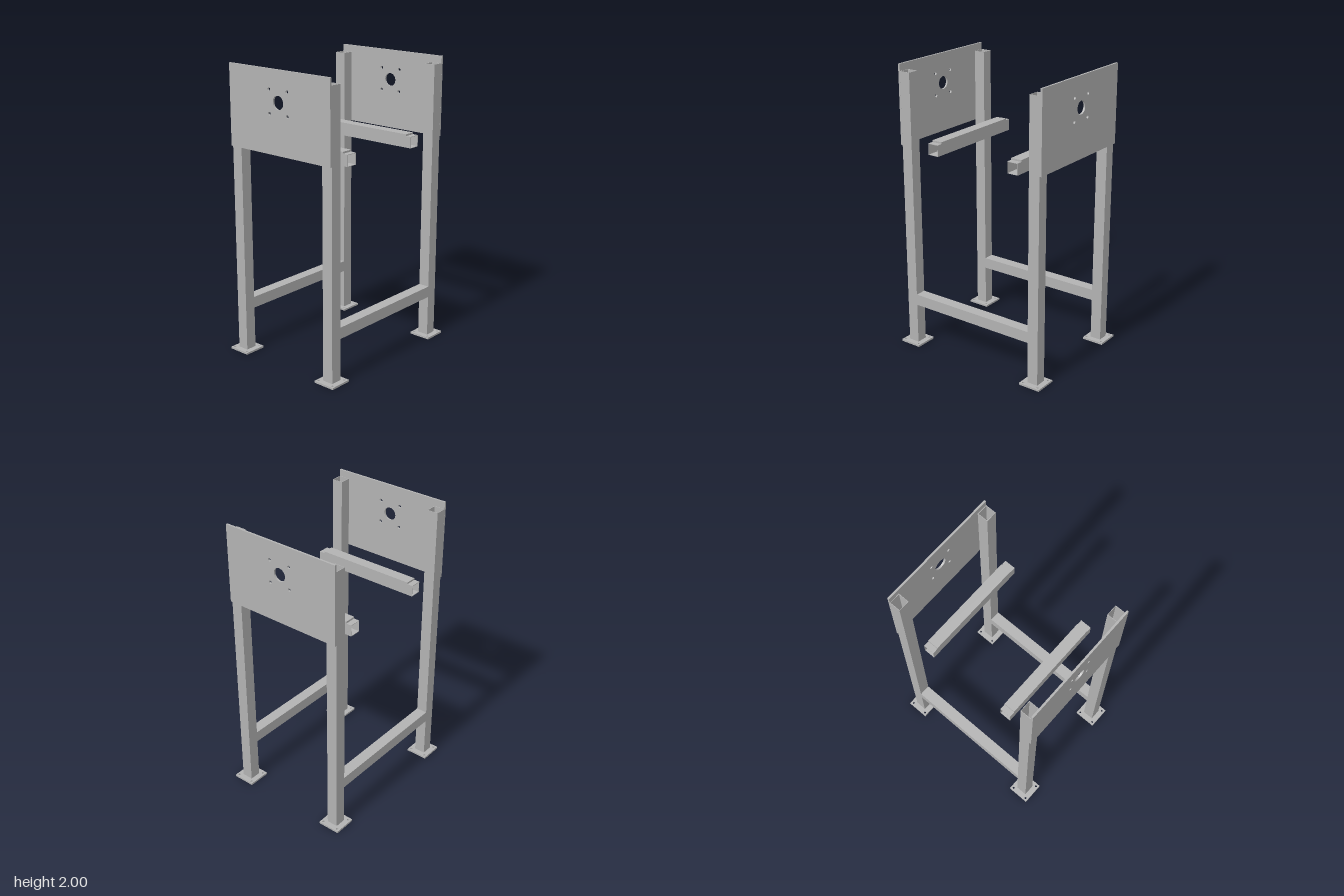
import * as THREE from 'three';

const TUBE = 0.0787;   // outer width of the square tubing
const WALL = 0.003;
const LEG_X = 0.511, LEG_Z = 0.393, RAIL_X = 0.32;
const SHEET = 0.0135;  // thickness of the flat plates

const steel = new THREE.MeshStandardMaterial({ color: 0xb2b2b2 });
steel.name = 'grey steel';

function rectangle(target, w, h) {
  target.moveTo(-w / 2, -h / 2);
  target.lineTo(w / 2, -h / 2);
  target.lineTo(w / 2, h / 2);
  target.lineTo(-w / 2, h / 2);
  target.closePath();
  return target;
}

// Rectangle extruded along z, centred on the origin, with the given holes
function extrudeRect(w, h, depth, holes) {
  const shape = rectangle(new THREE.Shape(), w, h);
  shape.holes.push(...holes);
  return new THREE.ExtrudeGeometry(shape, { depth, bevelEnabled: false, curveSegments: 16 })
    .translate(0, 0, -depth / 2);
}

const squareTube = (length) =>
  extrudeRect(TUBE, TUBE, length, [rectangle(new THREE.Path(), TUBE - 2 * WALL, TUBE - 2 * WALL)]);

const roundHole = (x, y, r) => new THREE.Path().absarc(x, y, r, 0, Math.PI * 2, true);

// Four holes on the corners of a square
const boltHoles = (offset, r, cy = 0) =>
  [-1, 1].flatMap((i) => [-1, 1].map((j) => roundHole(i * offset, cy + j * offset, r)));

export function createModel() {
  const model = new THREE.Group();
  model.name = 'standFrame';
  const add = (name, geometry, x, y, z) => {
    const mesh = new THREE.Mesh(geometry, steel);
    mesh.name = name;
    mesh.position.set(x, y, z);
    model.add(mesh);
  };

  // Open-topped legs on drilled feet
  const legHeight = 1.952 - SHEET;
  const leg = squareTube(legHeight).rotateX(Math.PI / 2);
  const foot = extrudeRect(0.158, 0.158, SHEET, boltHoles(0.059, 0.008)).rotateX(Math.PI / 2);
  for (const sx of [-1, 1]) {
    for (const sz of [-1, 1]) {
      const corner = (sz > 0 ? 'front' : 'back') + (sx > 0 ? 'Left' : 'Right');
      add(corner + 'Leg', leg, sx * LEG_X, SHEET + legHeight / 2, sz * LEG_Z);
      add(corner + 'FootPlate', foot, sx * LEG_X, SHEET / 2, sz * LEG_Z);
    }
  }

  // Low crossbars, running to the leg centrelines
  const crossbar = squareTube(LEG_X * 2).rotateY(Math.PI / 2);
  add('frontCrossbar', crossbar, 0, 0.342, LEG_Z);
  add('backCrossbar', crossbar, 0, 0.342, -LEG_Z);

  // Side plates with a shaft hole and four bolt holes
  const bottom = 1.454, height = 2 - bottom, middle = bottom + height / 2;
  const holeY = 1.793 - middle;
  const sidePlate = extrudeRect(0.865, height, SHEET,
    [roundHole(0, holeY, 0.045), ...boltHoles(0.077, 0.011, holeY)]).rotateY(Math.PI / 2);

  // Long open rails, each with a shorter strip on top
  const rail = squareTube(LEG_Z * 2);
  const strip = new THREE.BoxGeometry(TUBE, 0.012, 0.707);

  for (const sx of [-1, 1]) {
    const side = sx > 0 ? 'left' : 'right';
    add(side + 'SidePlate', sidePlate, sx * (LEG_X + TUBE / 2 + SHEET / 2), middle, 0);
    add(side + 'Rail', rail, sx * RAIL_X, 1.451, 0);
    add(side + 'RailStrip', strip, sx * RAIL_X, 1.451 + TUBE / 2 + 0.006, 0);
  }

  return model;
}
